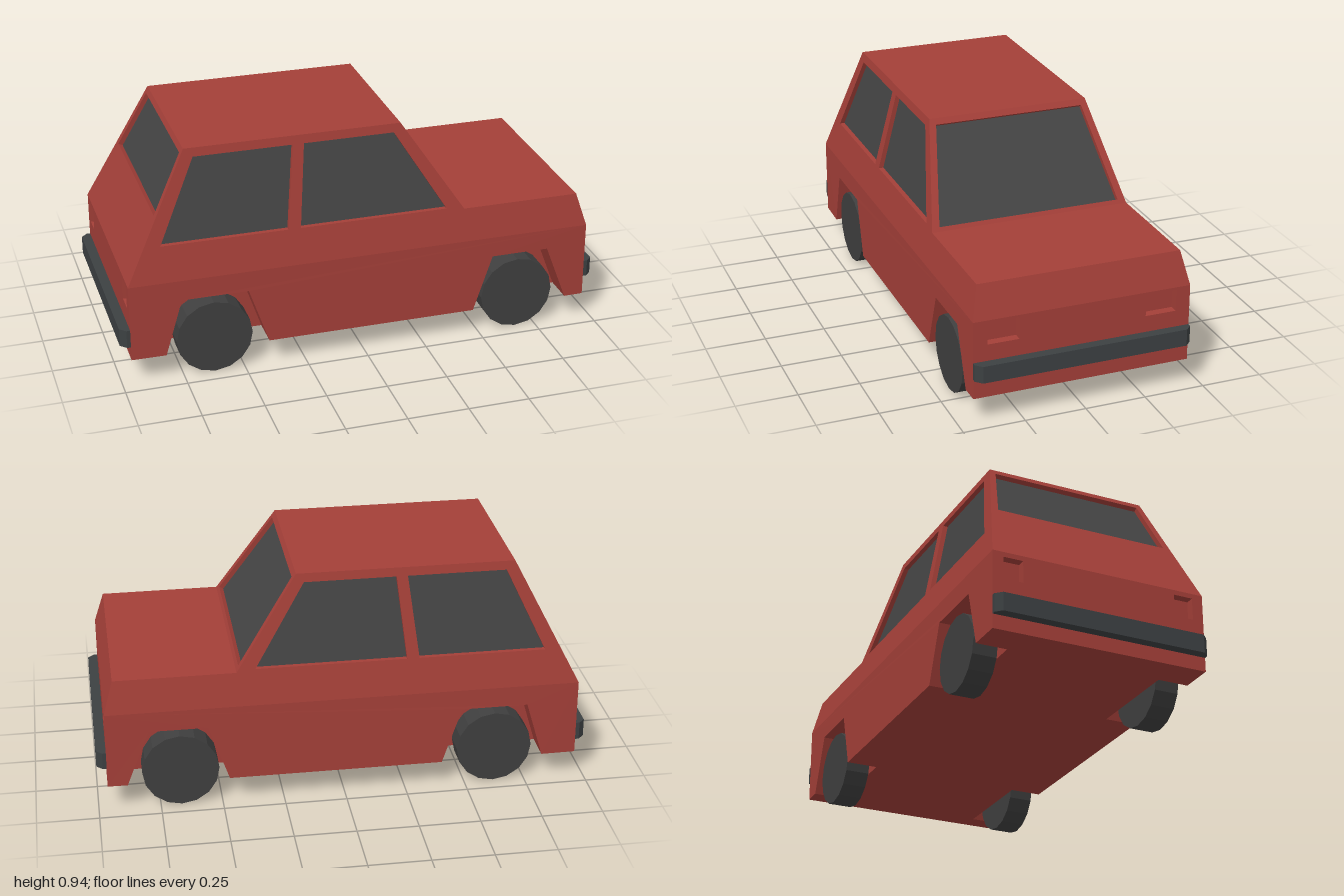
import * as THREE from 'three';

const paint = (color) => new THREE.MeshStandardMaterial({ color, flatShading: true, side: THREE.DoubleSide });
const red = paint(0xa33f38), glass = paint(0x444444), rubber = paint(0x3f3f3f), bumperGrey = paint(0x3c4042);

const V = (x, y, z) => new THREE.Vector3(x, y, z);
const pts = (list) => list.map(([x, y]) => new THREE.Vector2(x, y));

// Collects triangles, each wound to face its outward direction
function faceList() {
  const pos = [];
  const tri = (a, b, c, out) => {
    const n = b.clone().sub(a).cross(c.clone().sub(a));
    for (const p of n.dot(out) >= 0 ? [a, b, c] : [a, c, b]) pos.push(p.x, p.y, p.z);
  };
  const mesh = (name, material) => {
    const g = new THREE.BufferGeometry();
    g.setAttribute('position', new THREE.Float32BufferAttribute(pos, 3));
    g.computeVertexNormals();
    const m = new THREE.Mesh(g, material);
    m.name = name;
    return m;
  };
  return { tri, mesh };
}

// Fills a 2D outline (with holes) placed in space by place(u, v, depth)
function fill(faces, outline, holes, place, depth = 0) {
  const all = [outline, ...holes].flat();
  for (const t of THREE.ShapeUtils.triangulateShape(outline, holes)) {
    const [a, b, c] = t.map((i) => place(all[i].x, all[i].y, depth));
    const inside = place(all[t[0]].x, all[t[0]].y, depth + 0.01);
    faces.tri(a, b, c, a.clone().sub(inside));
  }
}

// Walls of a recess, facing its middle
function walls(faces, loop, place, depth, closed = true) {
  const mid = loop.reduce((s, p) => s.add(place(p.x, p.y, depth / 2)), V(0, 0, 0)).divideScalar(loop.length);
  for (let i = 0; i < loop.length - (closed ? 0 : 1); i++) {
    const p = loop[i], q = loop[(i + 1) % loop.length];
    const a = place(p.x, p.y, 0), b = place(q.x, q.y, 0), c = place(q.x, q.y, depth), d = place(p.x, p.y, depth);
    const out = mid.clone().sub(a);
    faces.tri(a, b, c, out);
    faces.tri(a, c, d, out);
  }
}

// Body panel with recessed windows or lights
function panel(group, name, outline, place, recesses = []) {
  const faces = faceList();
  const holes = recesses.map((r) => pts(r.loop));
  fill(faces, pts(outline), holes, place);
  recesses.forEach((r, i) => {
    walls(faces, holes[i], place, r.depth);
    const back = faceList();
    fill(back, holes[i], [], place, r.depth);
    group.add(back.mesh(r.name, r.material));
  });
  group.add(faces.mesh(name, red));
}

const wellDepthZ = 0.32, floorY = 0.11, beltY = 0.43, roofY = 0.94;
const upperZ = (y) => 0.445 - 0.216 * (y - beltY);
const lowerZ = (x, y) => 0.445 + 0.007 * (1 - (x / 0.96) ** 2) * (beltY - y) / 0.32;
const arches = [
  [[-0.82, floorY], [-0.75, 0.345], [-0.48, 0.345], [-0.4, floorY]],
  [[0.47, floorY], [0.55, 0.345], [0.79, 0.345], [0.88, floorY]],
];

function addSide(group, s, label) {
  // Upper side with two windows
  panel(group, label + 'UpperSide',
    [[-0.96, beltY], [0.96, beltY], [0.92, 0.565], [0.43, 0.565], [0.18, roofY], [-0.7, roofY]],
    (x, y, d) => V(x, y, s * (upperZ(y) - d)),
    [
      { name: label + 'RearWindow', material: glass, depth: 0.02, loop: [[-0.82, 0.575], [-0.305, 0.575], [-0.265, 0.905], [-0.665, 0.905]] },
      { name: label + 'FrontWindow', material: glass, depth: 0.02, loop: [[-0.255, 0.575], [0.355, 0.575], [0.15, 0.905], [-0.22, 0.905]] },
    ]);
  // Lower side cut by the wheel arches
  panel(group, label + 'LowerSide',
    [[-0.96, floorY], ...arches[0], ...arches[1], [0.96, floorY], [0.96, beltY], [-0.96, beltY]],
    (x, y, d) => V(x, y, s * (lowerZ(x, y) - d)));
  // Wheel wells
  for (const arch of arches) {
    const well = faceList();
    const place = (x, y, d) => V(x, y, s * THREE.MathUtils.lerp(lowerZ(x, y), wellDepthZ, d));
    walls(well, pts(arch), place, 1, false);
    fill(well, pts(arch), [], place, 1);
    group.add(well.mesh(label + 'WheelWell', red));
  }
}

// Panel running across the car between two profile points, outline given as (z, y)
function addCross(group, name, [x0, y0], [x1, y1], recesses) {
  const len = Math.hypot(x1 - x0, y1 - y0), side = Math.sign(x0 + x1 - 0.01 * (x0 + x1));
  const nx = -side * (y1 - y0) / len, ny = -Math.abs(x1 - x0) / len;
  const at = (y) => x0 + (x1 - x0) * (y - y0) / (y1 - y0);
  const w = (y) => (y < beltY ? 0.445 : upperZ(y));
  panel(group, name, [[-w(y0), y0], [w(y0), y0], [w(y1), y1], [-w(y1), y1]],
    (z, y, d) => V(at(y) + nx * d, y + ny * d, z), recesses);
}

const lights = (name, z0, z1, y0, y1) => [-1, 1].map((s) => ({
  name, material: red, depth: 0.035, loop: [[s * z0, y0], [s * z1, y0], [s * z1, y1], [s * z0, y1]],
}));

// Flat panel at a given height, outline given as (x, z)
function addLevel(group, name, outline, y, dir) {
  panel(group, name, outline, (x, z, d) => V(x, y - dir * d, z));
}
const rectangle = (x0, w0, x1, w1) => [[x0, -w0], [x1, -w1], [x1, w1], [x0, w0]];

function bumper(name, s, y, height) {
  const plan = new THREE.Shape(pts([[0.96, 0.445], [0.975, 0.445], [1, 0.42], [1, -0.42], [0.975, -0.445], [0.96, -0.445]]));
  const g = new THREE.ExtrudeGeometry(plan, { depth: height, bevelEnabled: false });
  g.rotateX(-Math.PI / 2);
  if (s < 0) g.rotateY(Math.PI);
  g.translate(0, y, 0);
  const m = new THREE.Mesh(g, bumperGrey);
  m.name = name;
  return m;
}

export function createModel() {
  const car = new THREE.Group();
  car.name = 'car';
  const body = new THREE.Group();
  body.name = 'body';
  car.add(body);

  addSide(body, 1, 'left');
  addSide(body, -1, 'right');

  // Nose, tail and sloping screens
  addCross(body, 'nose', [0.96, floorY], [0.96, beltY], lights('headlight', 0.26, 0.387, 0.33, 0.42));
  addCross(body, 'noseSlope', [0.96, beltY], [0.92, 0.565]);
  addCross(body, 'windscreenFrame', [0.43, 0.565], [0.18, roofY], [
    { name: 'windscreen', material: glass, depth: 0.02, loop: [[-0.382, 0.58], [0.382, 0.58], [0.312, 0.918], [-0.312, 0.918]] },
  ]);
  addCross(body, 'tail', [-0.96, floorY], [-0.96, beltY], lights('tailLight', 0.32, 0.4, 0.32, 0.41));
  addCross(body, 'rearScreenFrame', [-0.96, beltY], [-0.7, roofY], [
    { name: 'rearScreen', material: glass, depth: 0.02, loop: [[-0.36, 0.685], [0.36, 0.685], [0.315, 0.918], [-0.315, 0.918]] },
  ]);

  // Roof, bonnet and floor notched for the wheels
  addLevel(body, 'roof', rectangle(-0.7, upperZ(roofY), 0.18, upperZ(roofY)), roofY, 1);
  addLevel(body, 'bonnet', rectangle(0.43, upperZ(0.565), 0.92, upperZ(0.565)), 0.565, 1);
  const edge = [[-0.96, 0.445]];
  for (const arch of arches) {
    const a = arch[0][0], b = arch[3][0];
    edge.push([a, lowerZ(a, floorY)], [a, wellDepthZ], [b, wellDepthZ], [b, lowerZ(b, floorY)]);
  }
  edge.push([0.96, 0.445]);
  addLevel(body, 'floor', [...edge, ...edge.map(([x, z]) => [x, -z]).reverse()], floorY, -1);

  car.add(bumper('frontBumper', 1, 0.192, 0.07), bumper('rearBumper', -1, 0.168, 0.075));

  // Wheels
  const wheelGeometry = new THREE.CylinderGeometry(0.155, 0.155, 0.1, 16).rotateX(Math.PI / 2);
  for (const [x, end] of [[0.665, 'front'], [-0.62, 'rear']]) {
    for (const [s, side] of [[1, 'Left'], [-1, 'Right']]) {
      const wheel = new THREE.Mesh(wheelGeometry, rubber);
      wheel.name = end + side + 'Wheel';
      wheel.position.set(x, 0.155, s * 0.386);
      car.add(wheel);
    }
  }
  return car;
}
